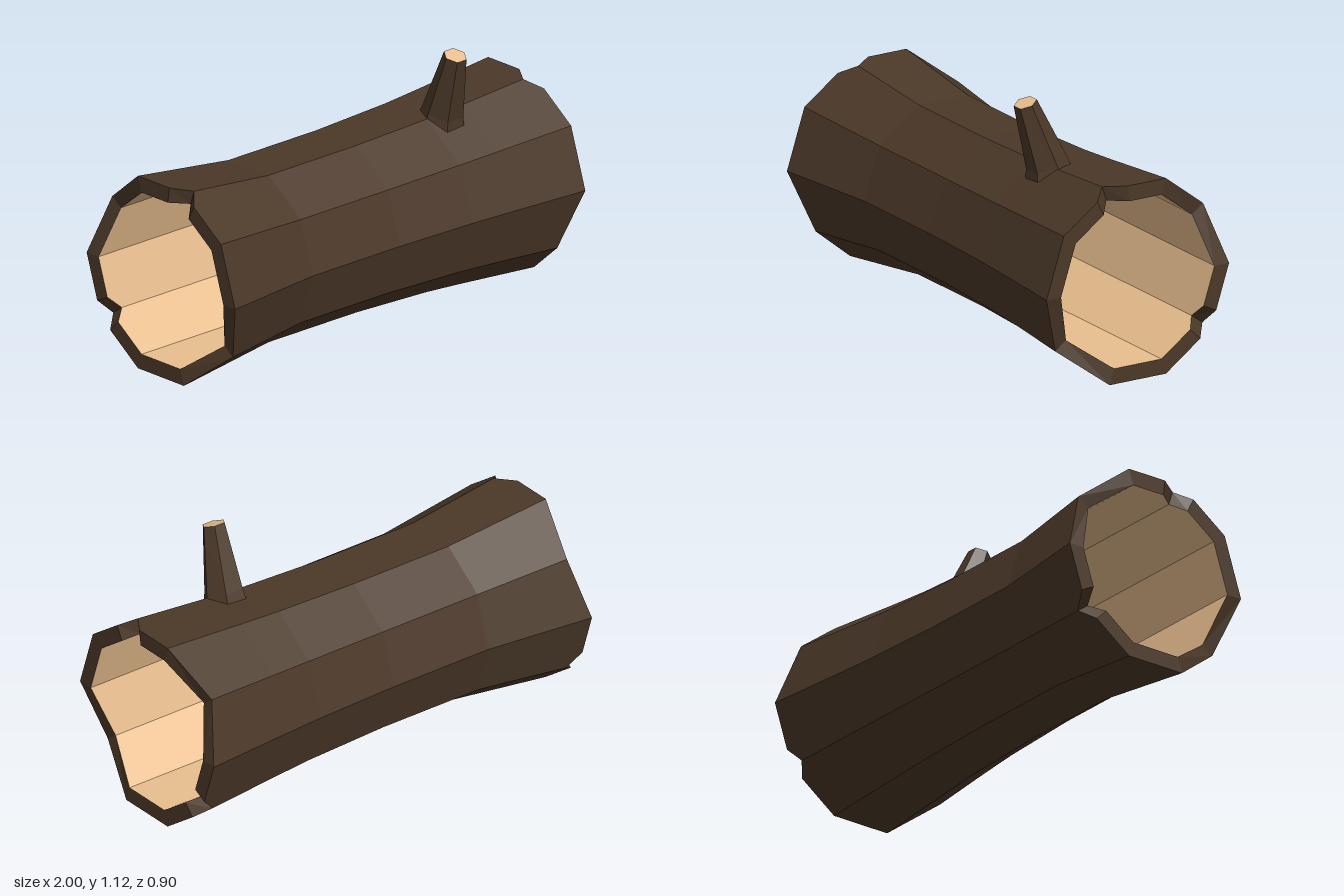
import * as THREE from 'three';

const bark = new THREE.MeshStandardMaterial({ color: 0x4b3828, flatShading: true });
const wood = new THREE.MeshStandardMaterial({ color: 0xe8be8e, flatShading: true });

// Flat-shaded skin through a list of closed rings of Vector3
function loft(name, rings, material) {
  const tris = [];
  for (let r = 0; r < rings.length - 1; r++) {
    const n = rings[r].length;
    for (let i = 0; i < n; i++) {
      const j = (i + 1) % n;
      const a = rings[r][i], b = rings[r][j], c = rings[r + 1][j], d = rings[r + 1][i];
      tris.push(a, d, c, a, c, b);
    }
  }
  const geometry = new THREE.BufferGeometry().setFromPoints(tris);
  geometry.computeVertexNormals();
  const mesh = new THREE.Mesh(geometry, material);
  mesh.name = name;
  return mesh;
}

// Ten-sided section; fractional steps add the corners beside the notches
const STEPS = [0, 1, 1.73, 2, 2.32, 3, 4, 5, 5.74, 6, 6.25, 7, 8, 9];
// How far each section corner is cut back from the ends
const CUT = { 2: 0.06, 4: 0.06, 6: 0.065, 9: 0.075 };
const CENTRE_Y = 0.43, INNER = 0.38;
const STATIONS = [[-1, 0.452], [-0.5, 0.392], [0, 0.392], [0.4, 0.406], [0.6, 0.42], [1, 0.452]];

function corner(step) {
  const at = (k) => new THREE.Vector2(Math.cos(k * Math.PI / 5), Math.sin(k * Math.PI / 5));
  const k = Math.floor(step);
  return at(k).lerp(at(k + 1), step - k);
}

// Outer radius along the log
function radiusAt(x) {
  let i = 0;
  while (i < STATIONS.length - 2 && x > STATIONS[i + 1][0]) i++;
  const [x0, r0] = STATIONS[i], [x1, r1] = STATIONS[i + 1];
  return r0 + (r1 - r0) * (x - x0) / (x1 - x0);
}

function logRing(x, inner) {
  return STEPS.map((s) => {
    const px = Math.abs(x) === 1 ? x * (1 - (CUT[s] || 0)) : x;
    const r = inner ? INNER : radiusAt(px);
    const p = corner(s);
    return new THREE.Vector3(px, CENTRE_Y + p.y * r, p.x * r);
  });
}

// Six-sided branch ring; slope tips it down towards the front
function branchRing(x, y, z, rx, rz, slope) {
  return Array.from({ length: 6 }, (_, i) => {
    const a = i * Math.PI / 3;
    const dz = Math.sin(a) * rz;
    return new THREE.Vector3(x + Math.cos(a) * rx, y - dz * slope, z + dz);
  });
}

export function createModel() {
  const model = new THREE.Group();
  model.name = 'hollowLog';

  // Bark, with both end rims
  const outer = STATIONS.map(([x]) => logRing(x, false));
  const innerStart = logRing(-1, true), innerEnd = logRing(1, true);
  model.add(loft('bark', [innerStart, ...outer, innerEnd], bark));

  // Pale hollow inside
  model.add(loft('hollow', [innerEnd, innerStart], wood));

  // Broken branch with a flared foot
  const branch = new THREE.Group();
  branch.name = 'branch';
  const tip = branchRing(0.475, 1.108, 0.22, 0.052, 0.047, 0.35);
  branch.add(loft('branchBark', [
    branchRing(0.495, 0.77, 0.115, 0.1, 0.1, 0.35),
    branchRing(0.495, 0.835, 0.127, 0.088, 0.085, 0.35),
    tip,
  ], bark));
  branch.add(loft('branchCut', [tip, branchRing(0.475, 1.108, 0.22, 0, 0, 0)], wood));
  model.add(branch);

  return model;
}
